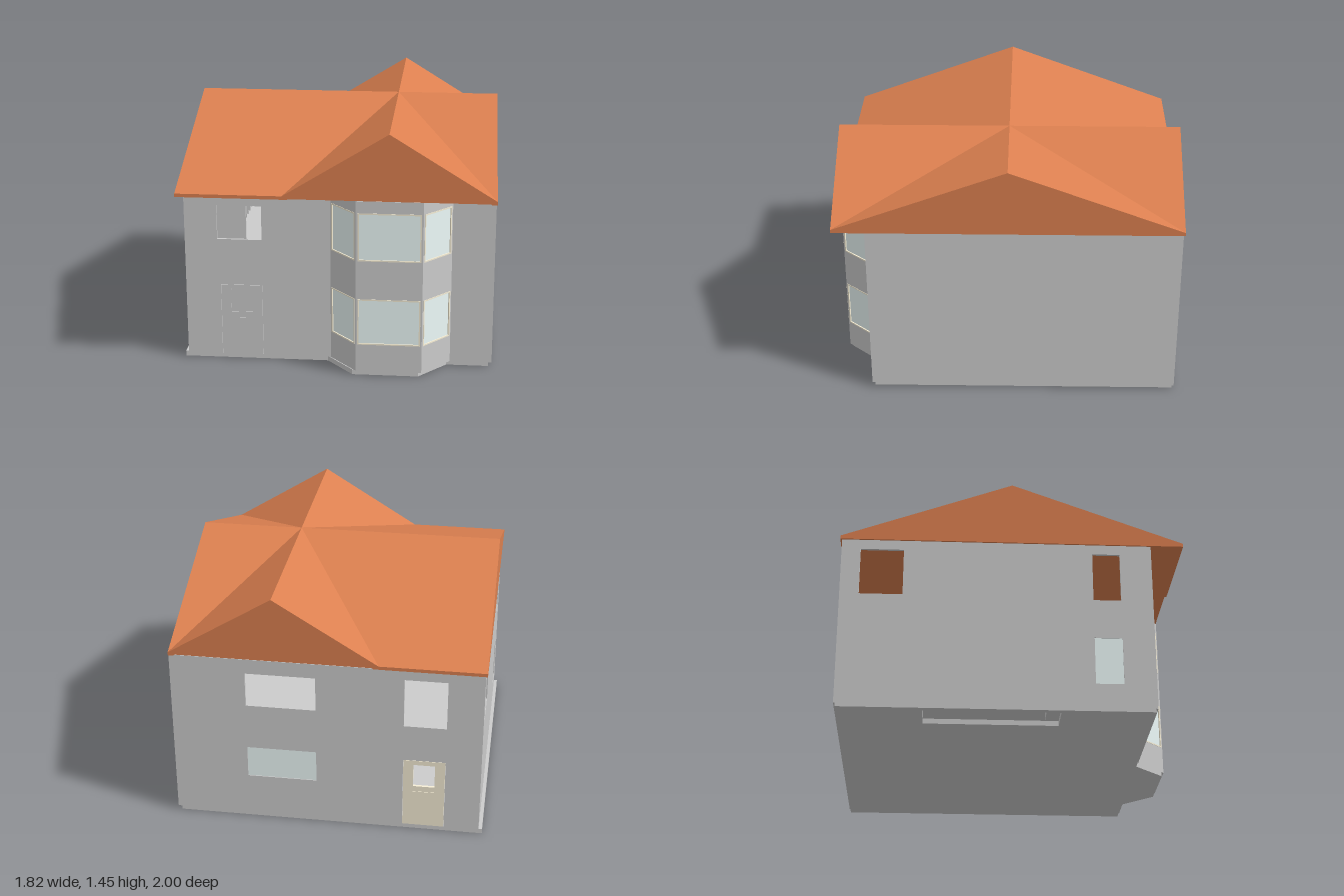
import * as THREE from 'three';

const mat = (color) => new THREE.MeshStandardMaterial({ color, side: THREE.DoubleSide });
const grey = mat(0xcccccc), tile = mat(0xdc8050), glass = mat(0xeefbfa), cream = mat(0xf6eed6);

const WALL_TOP = 1.06, PLINTH = 0.03, T = 0.015;

// Plan of the house, anticlockwise from the front -x corner, as [x, z]
const plan = [[-0.89, 0.81], [-0.04, 0.81], [0.12, 0.99], [0.5, 0.99], [0.66, 0.81],
  [0.905, 0.81], [0.905, -0.99], [-0.89, -0.99]];

function add(parent, name, geometry, material, x = 0, y = 0, z = 0) {
  const m = new THREE.Mesh(geometry, material);
  m.name = name;
  m.position.set(x, y, z);
  parent.add(m);
  return m;
}

function box(parent, name, material, x0, x1, y0, y1, z0, z1) {
  return add(parent, name, new THREE.BoxGeometry(x1 - x0, y1 - y0, z1 - z0), material,
    (x0 + x1) / 2, (y0 + y1) / 2, (z0 + z1) / 2);
}

const polygon = (pts) => new THREE.Shape(pts.map(([x, y]) => new THREE.Vector2(x, y)));
const rect = (u0, u1, v0, v1) => [[u0, v0], [u1, v0], [u1, v1], [u0, v1]];
const extrude = (shape, depth) => new THREE.ExtrudeGeometry(shape, { depth, bevelEnabled: false });

function panel(outline, holes, depth) {
  const s = polygon(outline);
  for (const h of holes) s.holes.push(polygon(rect(...h)));
  return extrude(s, depth);
}

// Horizontal slab of the house plan with an optional stairwell
function slab(parent, name, y, h, pts, holes) {
  const g = panel(pts.map(([x, z]) => [x, -z]), holes, h);
  g.rotateX(-Math.PI / 2);
  return add(parent, name, g, grey, 0, y, 0);
}

// Upright wall from a to b, outer face on the line; openings are { r, fill }
function wall(parent, name, a, b, openings = []) {
  const dx = b[0] - a[0], dz = b[1] - a[1], len = Math.hypot(dx, dz);
  const g = new THREE.Group();
  g.name = name;
  g.position.set(a[0], 0, a[1]);
  g.rotation.y = Math.atan2(-dz, dx);
  parent.add(g);
  add(g, name + 'Panel', panel(rect(0, len, PLINTH, WALL_TOP), openings.map((o) => o.r), T), grey, 0, 0, -T);
  for (const { r, fill } of openings) {
    const [u0, u1, v0, v1] = r, f = 0.008;
    if (fill === 'glass' || fill === 'bay') {
      box(g, 'windowGlass', glass, u0, u1, v0, v1, -0.009, -0.005);
    }
    if (fill === 'bay') {
      add(g, 'windowFrame', panel(rect(...r), [[u0 + f, u1 - f, v0 + f, v1 - f]], T), cream, 0, 0, -T + 0.002);
    }
    if (fill === 'frontDoor' || fill === 'backDoor') {
      const m = fill === 'backDoor' ? cream : grey;
      const light = [u0 + 0.06, u1 - 0.06, 0.3, 0.445];
      add(g, fill, panel(rect(u0 + 0.002, u1 - 0.002, v0, v1 - 0.002), [light], T), m, 0, 0, -T);
      box(g, 'letterPlate', m, u0 + 0.06, u1 - 0.06, 0.255, 0.265, -0.001, 0.003);
      if (fill === 'frontDoor') box(g, 'doorLight', grey, ...light, -T, -0.004);
    }
  }
}

function buildWalls(house) {
  const bay = (len) => [[0.195, 0.475], [0.705, 0.99]].map(([lo, hi]) =>
    ({ r: [0.01, len - 0.01, lo, hi], fill: 'bay' }));
  const side = Math.hypot(0.16, 0.18);
  const openings = {
    0: [{ r: [0.19, 0.45, 0.75, 0.955] }, { r: [0.205, 0.45, PLINTH + 0.002, 0.47], fill: 'frontDoor' }],
    1: bay(side), 2: bay(0.38), 3: bay(side),
    6: [{ r: [0.435, 0.84, 0.76, 0.97] }, { r: [0.435, 0.84, 0.285, 0.48], fill: 'glass' },
      { r: [1.345, 1.59, 0.7, 1.0] }, { r: [1.345, 1.59, PLINTH + 0.002, 0.475], fill: 'backDoor' }],
    7: [{ r: [0.11, 0.36, 0.71, 1.0] }, { r: [1.455, 1.615, 0.7, 1.0] },
      { r: [1.455, 1.615, 0.175, 0.46], fill: 'glass' }],
  };
  const names = ['frontWall', 'baySideLeft', 'bayFront', 'baySideRight', 'frontWallEnd', 'sideWall', 'backWall', 'windowSideWall'];
  plan.forEach((a, i) => wall(house, names[i], a, plan[(i + 1) % plan.length], openings[i]));
}

function buildInterior(house) {
  // Plinth sits slightly off the walls; both floors are open at the stairs
  const well = [-0.875, -0.685, -0.27, 0.5];
  slab(house, 'plinth', 0, PLINTH, plan.map(([x, z]) => [x - 0.02, z + (z < 0 ? 0.01 : -0.015)]), [well]);
  slab(house, 'upperFloor', 0.55, 0.02, plan.map(([x, z]) => [x * 0.985, z * 0.985]), [well]);

  const steps = 10, run = 0.77 / steps, rise = 0.52 / steps;
  for (let i = 0; i < steps; i++) {
    const y = PLINTH + i * rise, z = 0.27 - i * run;
    box(house, 'stairStep', grey, -0.872, -0.69, y, y + rise, z - run, z);
  }
  // Landing rail
  box(house, 'handrail', grey, -0.685, -0.67, 0.74, 0.755, -0.5, 0.27);
  for (let i = 0; i <= 10; i++) {
    const z = -0.495 + i * 0.076;
    box(house, 'baluster', grey, -0.682, -0.673, 0.57, 0.74, z - 0.004, z + 0.004);
  }
  box(house, 'upperPartition', grey, -0.875, -0.61, 0.57, WALL_TOP, 0.3, 0.315);
}

function buildRoof(house) {
  const roof = new THREE.Group();
  roof.name = 'roof';
  house.add(roof);
  const L = -0.9, R = 0.905, V = -0.295, C = 0.305, E = 1.08, H = 1.45;

  // One half of the crossing slopes, mirrored front to back
  for (const s of [1, -1]) {
    const fl = [L, E, s], v = [V, E, s], p = [C, H, s], fr = [R, E, s];
    const c = [C, H, 0], rl = [L, H, 0], rr = [R, H, 0];
    const tris = [[fl, v, c], [fl, c, rl], [v, p, c], [p, fr, c], [fr, rr, c]];
    const pos = tris.flatMap((t) => (s > 0 ? t : [t[0], t[2], t[1]])).flat();
    const g = new THREE.BufferGeometry();
    g.setAttribute('position', new THREE.Float32BufferAttribute(pos, 3));
    g.computeVertexNormals();
    add(roof, s > 0 ? 'frontSlopes' : 'backSlopes', g, tile);

    // Cross gable: recessed face with a raised verge board
    const face = polygon([[V, WALL_TOP], [R, WALL_TOP], [R, E], [C, H], [V, E]]);
    add(roof, 'crossGable', extrude(face, 0.004), tile, 0, 0, s * 0.985 - 0.002);
    const verge = polygon([[V, WALL_TOP], [V + 0.03, WALL_TOP], [C, H - 0.02],
      [R - 0.03, WALL_TOP], [R, WALL_TOP], [R, E], [C, H], [V, E]]);
    add(roof, 'vergeBoard', extrude(verge, 0.014), tile, 0, 0, s > 0 ? 0.985 : -0.999);
    box(roof, 'eavesBoard', tile, L, V, WALL_TOP, E, s > 0 ? 0.985 : -1, s > 0 ? 1 : -0.985);
  }

  // Main gables at both ends
  const end = extrude(polygon([[-1, WALL_TOP], [1, WALL_TOP], [1, E], [0, H], [-1, E]]), 0.004);
  end.rotateY(Math.PI / 2);
  add(roof, 'mainGable', end, tile, L, 0, 0);
  add(roof, 'mainGable', end, tile, R - 0.004, 0, 0);
  box(roof, 'soffit', tile, L, R - 0.001, WALL_TOP, WALL_TOP + 0.004, -0.985, 0.985);
}

export function createModel() {
  const house = new THREE.Group();
  house.name = 'house';
  buildWalls(house);
  buildInterior(house);
  buildRoof(house);
  return house;
}
